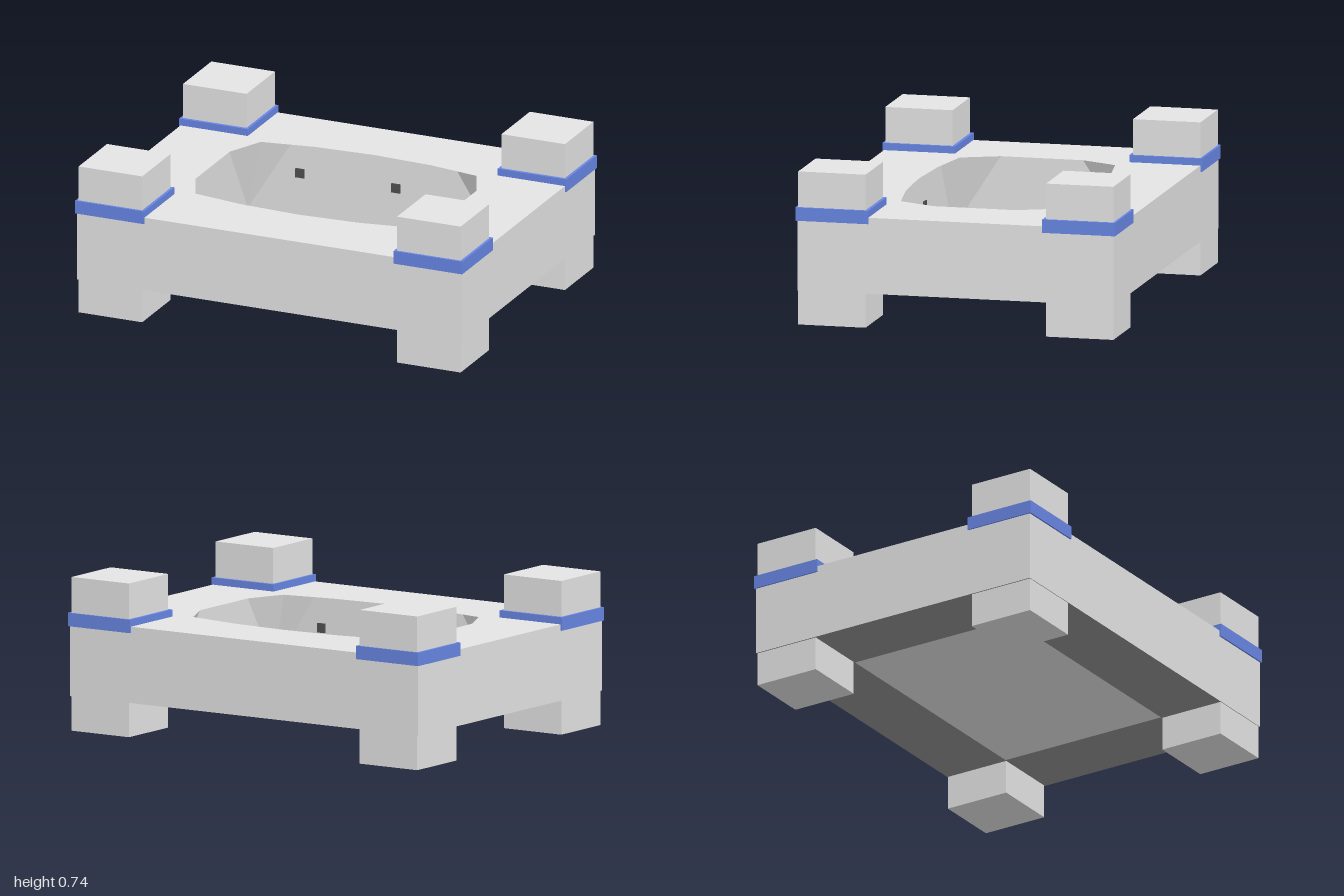
import * as THREE from 'three';

const Y0 = 0.165, Y1 = 0.53; // underside and top of the body
const stone = new THREE.MeshStandardMaterial({ color: 0xe4e4e4 });
stone.name = 'light grey';
const blue = new THREE.MeshStandardMaterial({ color: 0x6886e4 });
blue.name = 'blue';
const under = new THREE.MeshStandardMaterial({ color: 0x929292 });
under.name = 'dark grey';
const ventGrey = new THREE.MeshStandardMaterial({ color: 0x505050 });
ventGrey.name = 'vent grey';

// wall between two loops of [x, z] points, facing outward or inward
function wall(low, high, inward) {
  const pos = [], n = low.length;
  const p = (q, y) => [q[0], y, q[1]];
  for (let i = 0; i < n; i++) {
    const j = (i + 1) % n;
    const a = p(low[i], Y0), b = p(high[i], Y1), c = p(high[j], Y1), d = p(low[j], Y0);
    const tris = inward ? [a, c, b, a, d, c] : [a, b, c, a, c, d];
    tris.forEach((v) => pos.push(...v));
  }
  const g = new THREE.BufferGeometry();
  g.setAttribute('position', new THREE.Float32BufferAttribute(pos, 3));
  g.computeVertexNormals();
  return g;
}

// flat horizontal face with an optional hole
function face(outline, hole, y, down) {
  const vec = (l) => l.map(([x, z]) => new THREE.Vector2(x, z));
  const s = new THREE.Shape(vec(outline));
  if (hole) s.holes.push(new THREE.Path(vec(hole)));
  return new THREE.ShapeGeometry(s).rotateX(down ? Math.PI / 2 : -Math.PI / 2).translate(0, y, 0);
}

// mirror one quarter of an outline into a full loop
function mirrorLoop(quarter) {
  const half = [...quarter, ...quarter.slice(0, -1).reverse().map(([x, z]) => [-x, z])];
  return [...half, ...half.slice().reverse().map(([x, z]) => [x, -z])];
}

export function createModel() {
  const group = new THREE.Group();
  const add = (name, geometry, material, x = 0, y = 0, z = 0) => {
    const m = new THREE.Mesh(geometry, material);
    m.name = name;
    m.position.set(x, y, z);
    group.add(m);
  };

  const outer = [[0.992, 0.77], [-0.992, 0.77], [-0.992, -0.77], [0.992, -0.77]];
  const floor = [[0.65, 0.437], [-0.65, 0.437], [-0.65, -0.437], [0.65, -0.437]];
  const rim = mirrorLoop([[0.637, 0.2], [0.557, 0.378], [0.3, 0.42], [0, 0.436]]);
  // the long basin walls stay flat just behind the curved rim
  const wallTop = mirrorLoop([[0.64, 0.2], [0.557, 0.38], [0.42, 0.437], [0, 0.437]]);
  const wallFoot = mirrorLoop([[0.65, 0.437], [0.65, 0.437], [0.65, 0.437], [0, 0.437]]);

  // body shell with the basin opening
  add('bodySides', wall(outer, outer, false), stone);
  add('bodyTop', face(outer, rim, Y1, false), stone);
  add('basinWall', wall(wallFoot, wallTop, true), stone);
  add('basinFloor', face(floor, null, Y0 + 0.003, false), stone);
  add('undersideBorder', face(outer, floor, Y0, true), under);
  add('undersidePanel', face(floor, null, Y0, true), stone);

  // corner feet, posts and blue bands
  for (const sx of [-1, 1]) {
    for (const sz of [-1, 1]) {
      const x = sx * 0.822, z = sz * 0.603;
      add('foot', new THREE.BoxGeometry(0.328, Y0, 0.328), stone, x, Y0 / 2, z);
      add('post', new THREE.BoxGeometry(0.328, 0.205, 0.328), stone, x, 0.6325, z);
      add('band', new THREE.BoxGeometry(0.354, 0.064, 0.354), blue, x, 0.532, sz * 0.601);
    }
  }

  // thin vents on the long basin walls and small upright plates at the ends
  for (const s of [-1, 1]) {
    for (const x of [-0.38, 0.115]) {
      add('vent', new THREE.BoxGeometry(0.045, 0.045, 0.008), ventGrey, -s * x, 0.38, s * 0.434);
    }
    add('endPlate', new THREE.BoxGeometry(0.006, 0.05, 0.08), stone, s * 0.61, 0.192, 0);
  }
  return group;
}
